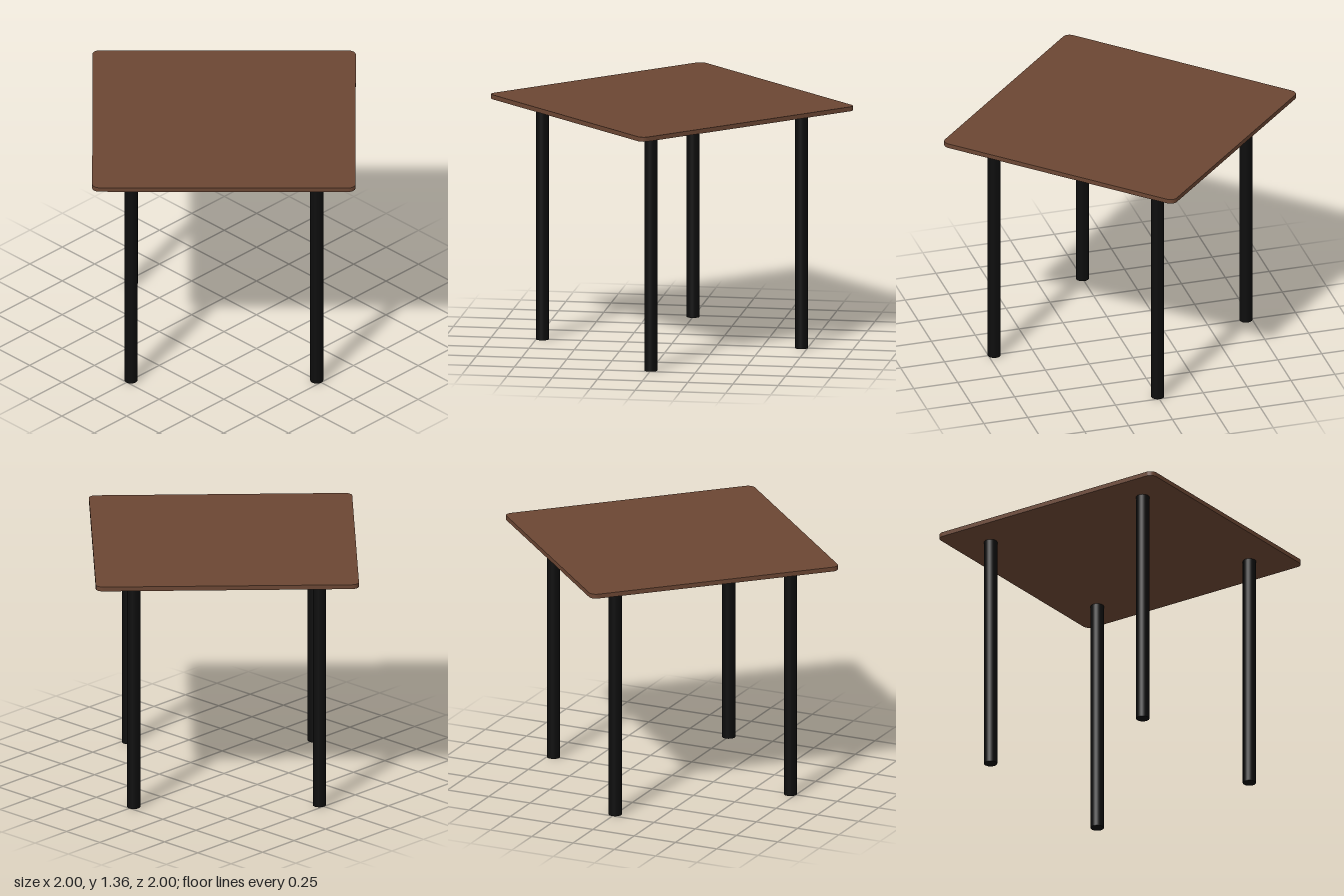
import * as THREE from 'three';

const HEIGHT = 1.36, THICK = 0.025, CORNER = 0.04, LEG_R = 0.036, LEG_OFFSET = 0.717;

// Square slab with rounded corners, turned so its corners lie on the axes
function topGeometry() {
  const c = (1 - CORNER) / Math.SQRT2; // centre of each corner arc
  const shape = new THREE.Shape();
  [[c, c], [-c, c], [-c, -c], [c, -c]].forEach(([x, y], i) => {
    const a = i * Math.PI / 2;
    shape.absarc(x, y, CORNER, a, a + Math.PI / 2, false);
  });
  shape.closePath();
  return new THREE.ExtrudeGeometry(shape, { depth: THICK, bevelEnabled: false, curveSegments: 8 })
    .rotateX(-Math.PI / 2)
    .rotateY(Math.PI / 4);
}

export function createModel() {
  const wood = new THREE.MeshStandardMaterial({ name: 'brown wood', color: 0x6b4633 });
  const metal = new THREE.MeshStandardMaterial({ name: 'black metal', color: 0x0d0d0d });
  const table = new THREE.Group();
  table.name = 'table';

  const top = new THREE.Mesh(topGeometry(), wood);
  top.name = 'tableTop';
  top.position.y = HEIGHT - THICK;
  table.add(top);

  // One round leg near each corner
  const legHeight = HEIGHT - THICK;
  const legGeometry = new THREE.CylinderGeometry(LEG_R, LEG_R, legHeight, 32);
  const legs = { leftLeg: [1, 0], rightLeg: [-1, 0], frontLeg: [0, 1], backLeg: [0, -1] };
  for (const [name, [x, z]] of Object.entries(legs)) {
    const leg = new THREE.Mesh(legGeometry, metal);
    leg.name = name;
    leg.position.set(x * LEG_OFFSET, legHeight / 2, z * LEG_OFFSET);
    table.add(leg);
  }
  return table;
}
